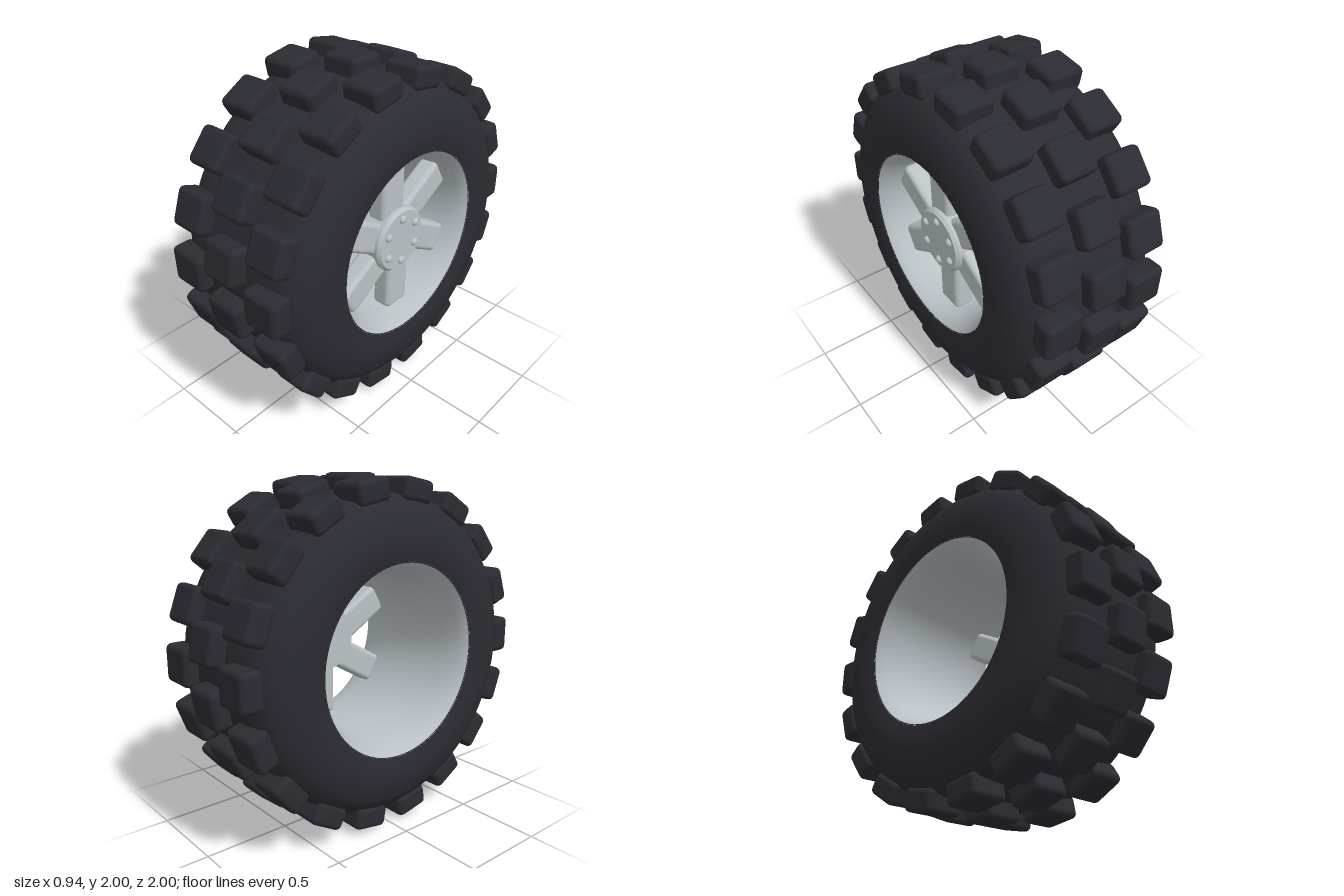
import * as THREE from 'three';
import { RoundedBoxGeometry } from 'three/addons/geometries/RoundedBoxGeometry.js';

export function createModel() {
  const root = new THREE.Group();
  root.name = 'wheel';

  const rubber = new THREE.MeshStandardMaterial({ color: 0x2b2b33 });
  rubber.name = 'dark rubber';
  const metal = new THREE.MeshStandardMaterial({ color: 0xb9c1c5, side: THREE.DoubleSide });
  metal.name = 'light metal';

  const add = (parent, name, geometry, material, x = 0, y = 0, z = 0) => {
    const mesh = new THREE.Mesh(geometry, material);
    mesh.name = name;
    mesh.position.set(x, y, z);
    parent.add(mesh);
    return mesh;
  };

  // Lathe about the x axle from [x, radius] points given for the +x half, mirrored
  const latheX = (half) => {
    const all = [...half.map(([x, r]) => [-x, r]), ...half.slice().reverse()];
    const geometry = new THREE.LatheGeometry(all.map(([x, r]) => new THREE.Vector2(r, x)), 72);
    return geometry.rotateZ(-Math.PI / 2);
  };

  // Copies placed around the axle; angle 0 points up
  const ring = (name, count, offset, place) => {
    const group = new THREE.Group();
    group.name = name;
    for (let i = 0; i < count; i++) {
      const arm = new THREE.Group();
      arm.rotation.x = ((i + offset) / count) * Math.PI * 2;
      place(arm);
      group.add(arm);
    }
    group.position.y = 1;
    root.add(group);
  };

  // Tyre body with rounded shoulders
  add(root, 'tyre', latheX([
    [0.45, 0.54], [0.465, 0.6], [0.47, 0.68], [0.445, 0.78],
    [0.405, 0.84], [0.35, 0.89], [0.25, 0.905], [0.05, 0.91],
  ]), rubber, 0, 1, 0);

  // Tread: a centre row and two side rows staggered by half a step
  const block = new RoundedBoxGeometry(0.228, 0.13, 0.216, 2, 0.032);
  ring('centreTread', 18, 0, (arm) => add(arm, 'treadBlock', block, rubber, 0, 0.935, 0));
  for (const side of [1, -1]) {
    ring(side > 0 ? 'leftTread' : 'rightTread', 18, 0.5, (arm) =>
      add(arm, 'treadBlock', block, rubber, side * 0.28, 0.92, 0));
  }

  // Rim barrel flaring to both edges
  add(root, 'rim', latheX([
    [0.452, 0.546], [0.43, 0.528], [0.39, 0.507], [0.3, 0.484], [0.15, 0.468], [0.02, 0.465],
  ]), metal, 0, 1, 0);

  // Six spokes, each set slightly to one side of the axle
  const spoke = new RoundedBoxGeometry(0.12, 0.4, 0.18, 3, 0.03);
  ring('spokes', 6, 0, (arm) => add(arm, 'spoke', spoke, metal, 0.28, 0.282, 0.03));

  // Hub with a bevelled front edge
  const disc = (r1, r2, h) => new THREE.CylinderGeometry(r1, r2, h, 40).rotateZ(-Math.PI / 2);
  add(root, 'hub', disc(0.195, 0.195, 0.14), metal, 0.285, 1, 0);
  add(root, 'hubCap', disc(0.18, 0.195, 0.02), metal, 0.365, 1, 0);

  // Bolts on the hub face
  const bolt = new THREE.SphereGeometry(0.024, 16, 12).scale(0.8, 1, 1);
  ring('bolts', 6, 0, (arm) => add(arm, 'bolt', bolt, metal, 0.375, 0.135, 0));

  return root;
}
